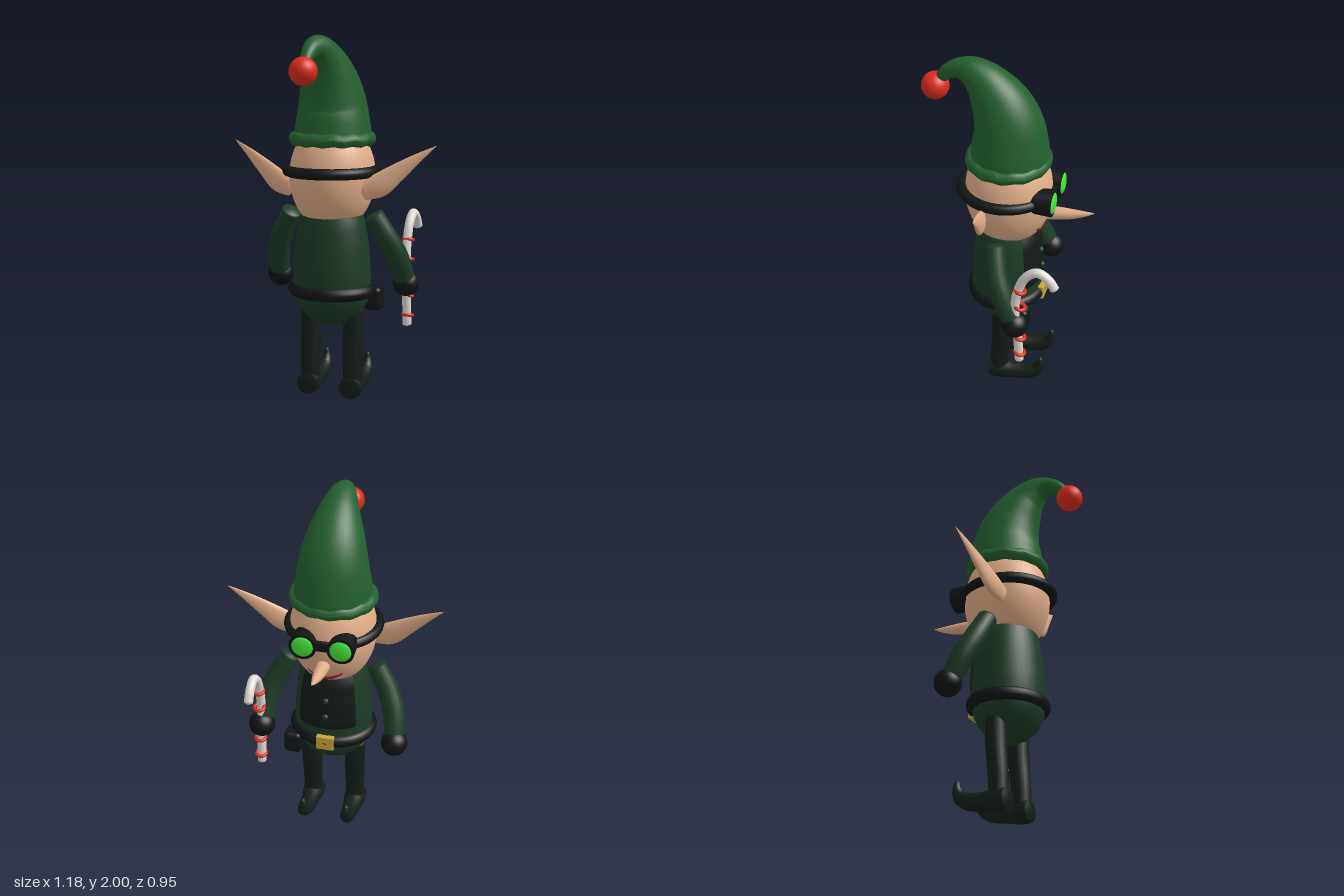
import * as THREE from 'three';
import { mergeVertices } from 'three/addons/utils/BufferGeometryUtils.js';
import { RoundedBoxGeometry } from 'three/addons/geometries/RoundedBoxGeometry.js';

const paint = (color, side = THREE.FrontSide) => new THREE.MeshStandardMaterial({ color, side });
const HAT = paint(0x23602f), COAT = paint(0x1d3a26), LEG = paint(0x151e19), BLACK = paint(0x121416);
const BIB = paint(0x141a18, THREE.DoubleSide), SKIN = paint(0xe2ad88), RED = paint(0xdc2c1e);
const WHITE = paint(0xdedad5), LENS = paint(0x45e83a), GOLD = paint(0xc9a63a), LIPS = paint(0x7a1f24);

// Closed tube through [x, y, z, radius] points, its rings scaled to the local radius
function taper(points, seg = 32, sides = 20) {
  const curve = new THREE.CatmullRomCurve3(points.map(p => new THREE.Vector3(p[0], p[1], p[2])));
  const radii = new THREE.CatmullRomCurve3(points.map(p => new THREE.Vector3(p[3], 0, 0)), false, 'catmullrom');
  const geo = new THREE.TubeGeometry(curve, seg, 1, sides, false);
  const pos = geo.attributes.position, v = new THREE.Vector3();
  for (let i = 0; i < pos.count; i++) {
    const ring = Math.floor(i / (sides + 1)), u = ring / seg;
    const c = curve.getPointAt(u);
    const r = ring === 0 || ring === seg ? 0 : radii.getPoint(curve.getUtoTmapping(u)).x;
    v.fromBufferAttribute(pos, i).sub(c).multiplyScalar(r).add(c);
    pos.setXYZ(i, v.x, v.y, v.z);
  }
  geo.deleteAttribute('uv');
  geo.deleteAttribute('normal');
  const merged = mergeVertices(geo, 1e-5);
  merged.computeVertexNormals();
  return merged;
}

const lathe = (profile, ...args) =>
  new THREE.LatheGeometry(profile.map(p => new THREE.Vector2(p[0], p[1])), ...args);

export function createModel() {
  const model = new THREE.Group();
  model.name = 'elf';
  const add = (name, geo, mat, x = 0, y = 0, z = 0) => {
    const mesh = new THREE.Mesh(geo, mat);
    mesh.name = name;
    mesh.position.set(x, y, z);
    model.add(mesh);
    return mesh;
  };
  // Horizontal ring
  const ring = (name, mat, r, tube, x, y, z, zScale = 1) => {
    const geo = new THREE.TorusGeometry(r, tube, 14, 48).rotateX(Math.PI / 2).scale(1, 1, zScale);
    return add(name, geo, mat, x, y, z);
  };

  // Torso
  add('torso', lathe([[0, 0.41], [0.06, 0.417], [0.12, 0.443], [0.17, 0.487], [0.205, 0.55], [0.22, 0.63],
    [0.217, 0.74], [0.207, 0.85], [0.194, 0.95], [0.177, 1.02], [0.165, 1.035], [0, 1.05]], 40),
    COAT, 0, 0, 0.01).scale.z = 0.9;

  // Bib with buttons on the chest
  add('bib', lathe([[0.2, 0.685], [0.224, 0.7], [0.228, 0.74], [0.219, 0.85], [0.206, 0.95], [0.188, 1.02], [0.16, 1.03]],
    24, Math.PI - 0.78, 1.56), BIB, 0, 0, 0.01).scale.z = 0.9;
  for (const y of [0.78, 0.88]) {
    add('button', new THREE.SphereGeometry(0.018, 14, 10), COAT, 0, y, 0.012 - 0.9 * (0.226 - (y - 0.75) * 0.09));
  }

  // Belt, buckle and pouch
  ring('belt', BLACK, 0.21, 0.037, 0, 0.61, 0.008, 0.9);
  add('buckle', new RoundedBoxGeometry(0.1, 0.085, 0.035, 2, 0.006), GOLD, 0, 0.61, -0.196);
  add('pouch', new RoundedBoxGeometry(0.1, 0.13, 0.1, 4, 0.025), BLACK, 0.2, 0.545, -0.125);

  // Head and mouth
  add('head', new THREE.SphereGeometry(1, 40, 28).scale(0.236, 0.31, 0.24), SKIN, 0, 1.24, 0);
  const smile = [];
  for (let i = -4; i <= 4; i++) {
    const x = i * 0.024, y = 1.04 + 4.5 * x * x;
    const z = -0.24 * Math.sqrt(1 - (x / 0.236) ** 2 - ((y - 1.24) / 0.31) ** 2);
    smile.push([x, y, z, 0.012 - Math.abs(i) * 0.0018]);
  }
  add('mouth', taper(smile, 32, 10), LIPS);
  add('nose', taper([[0, 1.13, -0.19, 0.036], [0, 1.14, -0.25, 0.036], [0, 1.15, -0.34, 0.029],
    [0, 1.165, -0.42, 0.015], [0, 1.18, -0.475, 0.001]]), SKIN);

  // Goggles
  ring('goggleStrap', BLACK, 0.24, 0.03, 0, 1.27, 0.015);
  add('goggleBridge', new THREE.BoxGeometry(0.1, 0.045, 0.05), BLACK, 0, 1.27, -0.235);
  for (const s of [-1, 1]) {
    add('goggleCup', new THREE.CylinderGeometry(0.074, 0.07, 0.13, 32).rotateX(-Math.PI / 2), BLACK, s * 0.102, 1.27, -0.207);
    add('goggleLens', new THREE.SphereGeometry(0.06, 28, 16).scale(1, 1, 0.28), LENS, s * 0.102, 1.27, -0.268);
  }

  // Hat, bent over at the tip
  add('hat', taper([[0, 1.42, -0.005, 0.215], [0, 1.52, -0.005, 0.205], [0, 1.62, 0, 0.188], [0, 1.72, 0.03, 0.167],
    [0, 1.81, 0.08, 0.138], [0, 1.88, 0.14, 0.105], [0, 1.922, 0.21, 0.076], [0, 1.925, 0.275, 0.052],
    [0, 1.895, 0.335, 0.038], [0, 1.83, 0.39, 0.026]], 56, 36), HAT);
  const brim = ring('hatBrim', HAT, 0.203, 0.036, 0, 1.442, 0.003, 0.97);
  const bp = brim.geometry.attributes.position;
  for (let i = 0; i < bp.count; i++) {
    bp.setY(i, bp.getY(i) + 0.004 * Math.sin(12 * Math.atan2(bp.getZ(i), bp.getX(i))));
  }
  brim.geometry.computeVertexNormals();
  add('pompom', new THREE.SphereGeometry(0.074, 28, 20), RED, 0, 1.81, 0.4);

  for (const s of [-1, 1]) {
    // Flattened pointed ears, swept towards the face
    const ear = taper([[0, 0, 0, 0.045], [s * 0.1, 0.04, 0, 0.064], [s * 0.19, 0.105, 0, 0.05],
      [s * 0.3, 0.185, 0, 0.026], [s * 0.405, 0.255, 0, 0.001]]);
    ear.scale(1, 1, 0.42);
    add('ear', ear, SKIN, s * 0.195, 1.165, 0.09).rotation.y = s * 0.21;

    // Arms and mittens
    add('arm', taper([[s * 0.235, 1.045, 0.01, 0.054], [s * 0.315, 0.9, -0.025, 0.06],
      [s * 0.358, 0.79, -0.07, 0.061], [s * 0.38, 0.64, -0.14, 0.056]], 40), COAT);
    add('mitten', new THREE.SphereGeometry(0.074, 28, 20), BLACK, s * 0.38, 0.64, -0.145);

    // Legs and curled boots
    const x = s * 0.127;
    add('leg', taper([[x, 0.52, 0, 0.058], [x, 0.36, 0.003, 0.058], [x, 0.2, 0.015, 0.055], [x, 0.06, 0.02, 0.052]]), LEG);
    add('boot', taper([[x, 0.062, 0.08, 0.06], [x, 0.063, 0.02, 0.063], [x, 0.066, -0.07, 0.051], [x, 0.076, -0.15, 0.046],
      [x, 0.105, -0.205, 0.038], [x, 0.155, -0.226, 0.024], [x, 0.2, -0.222, 0.01]], 48), LEG);
  }

  // Candy cane with red bands
  add('candyCane', taper([[0.38, 0.385, -0.174, 0.025], [0.38, 0.6, -0.16, 0.025], [0.38, 0.75, -0.146, 0.025],
    [0.38, 0.88, -0.165, 0.025], [0.38, 0.975, -0.208, 0.025], [0.38, 1.015, -0.267, 0.025],
    [0.38, 0.985, -0.325, 0.025], [0.38, 0.92, -0.368, 0.025]], 80, 16), WHITE);
  for (const y of [0.45, 0.56, 0.665, 0.77, 0.88]) {
    ring('caneBand', RED, 0.027, 0.01, 0.382, y, -0.176).rotation.x = -0.22;
  }
  return model;
}
